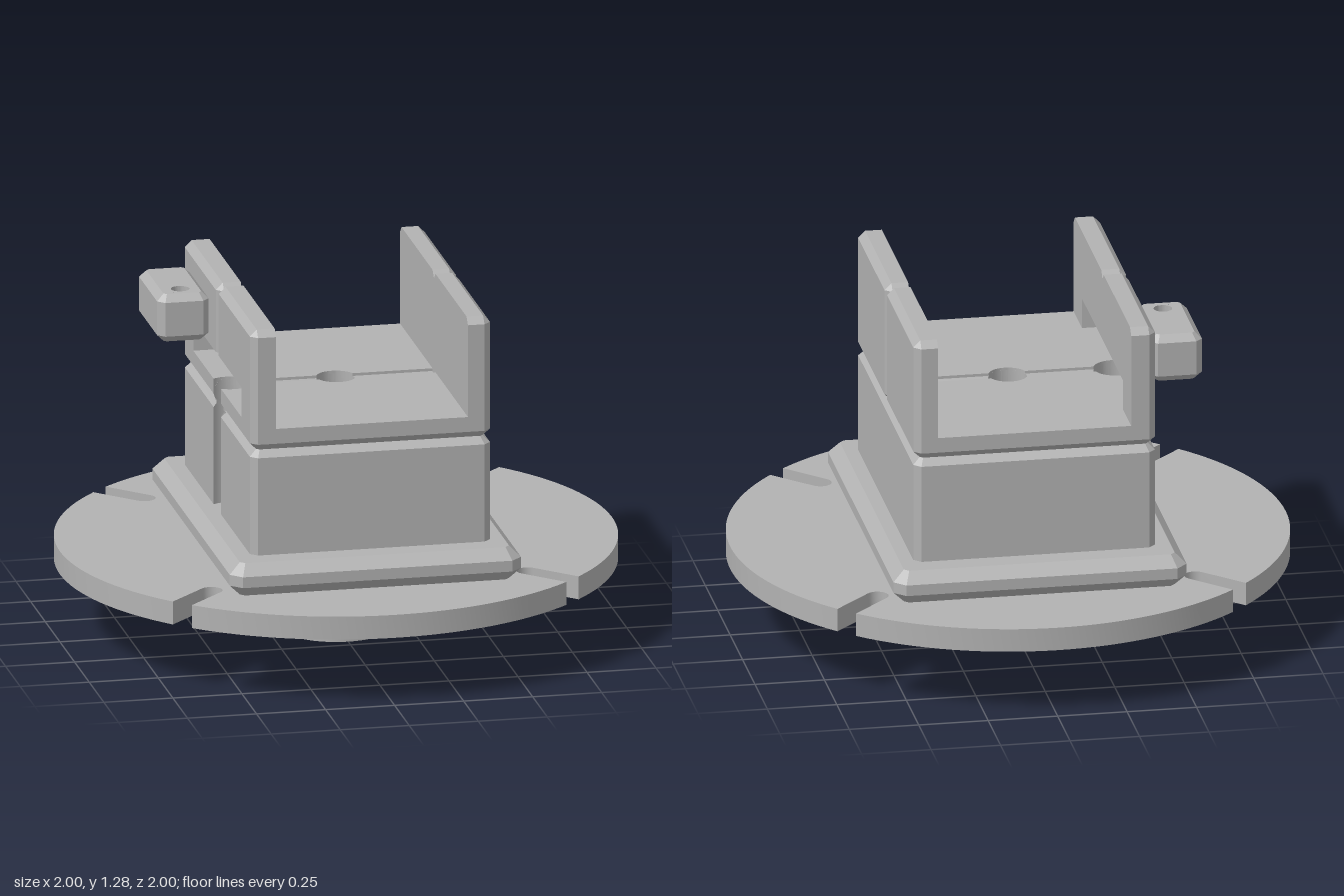
import * as THREE from 'three';
import { toCreasedNormals } from 'three/addons/utils/BufferGeometryUtils.js';
import { ConvexGeometry } from 'three/addons/geometries/ConvexGeometry.js';

const X0 = -0.43, X1 = 0.44, D = 0.58, C = 0.025;   // block footprint and chamfer
const BORE = { x: 0, z: 0, r: 0.07 };               // central bore
const DUCT = { x: -0.385, z: 0, r: 0.077 };         // side cable duct
const DUCT_ANGLE = Math.acos((X0 - DUCT.x) / DUCT.r);

const arc = (cx, cy, r, a0, a1, n = 24) => Array.from({ length: n + 1 }, (_, i) => {
  const a = a0 + (a1 - a0) * i / n;
  return new THREE.Vector2(cx + r * Math.cos(a), cy + r * Math.sin(a));
});
const v = (x, y) => new THREE.Vector2(x, y);

// Horizontal slab from y0 to y1; the outer rim is chamfered, bores stay straight
function slab(points, holes, y0, y1, c = 0, bores = holes) {
  const shape = new THREE.Shape(points);
  for (const h of holes) shape.holes.push(new THREE.Path(arc(h.x, -h.z, h.r, 0, Math.PI * 2, 40).slice(0, -1)));
  const g = new THREE.ExtrudeGeometry(shape, {
    depth: y1 - y0 - 2 * c, bevelEnabled: c > 0, bevelThickness: c, bevelSize: c,
    bevelOffset: -c, bevelSegments: 1,
  });
  g.rotateX(-Math.PI / 2).translate(0, y0 + c, 0);
  if (c > 0) {
    const p = g.attributes.position;
    for (let i = 0; i < p.count; i++) {
      for (const h of bores) {
        const dx = p.getX(i) - h.x, dz = p.getZ(i) - h.z, d = Math.hypot(dx, dz);
        if (d > 0 && d < h.r + c + 0.006) {
          p.setX(i, h.x + dx * h.r / d);
          p.setZ(i, h.z + dz * h.r / d);
        }
      }
    }
  }
  return toCreasedNormals(g, 0.4);
}

// Rectangle with cut corners
const octagon = (x0, x1, z0, z1, c) => [
  v(x1, -z1 + c), v(x1, -z0 - c), v(x1 - c, -z0), v(x0 + c, -z0),
  v(x0, -z0 - c), v(x0, -z1 + c), v(x0 + c, -z1), v(x1 - c, -z1)];

// Box whose edges are cut only where two flagged faces meet
function chamferBox(xr, yr, zr, flags, c = C) {
  const pts = [], r = [xr, yr, zr];
  for (let k = 0; k < 8; k++) {
    const s = [k & 1, (k >> 1) & 1, (k >> 2) & 1];
    const corner = s.map((b, a) => r[a][b]);
    const on = [0, 1, 2].filter(a => flags[a][s[a]]);
    if (on.length < 2) { pts.push(new THREE.Vector3(...corner)); continue; }
    for (const keep of on) {
      const q = corner.slice();
      for (const a of on) if (a !== keep) q[a] += s[a] ? -c : c;
      pts.push(new THREE.Vector3(...q));
    }
  }
  return new ConvexGeometry(pts);
}

// Outline of one tray floor half; s = 1 front, -1 back
function halfFloor(s, z0, c) {
  const edge = r => Math.asin(z0 / r);
  return [
    ...(c ? [v(X1 - c, z0), v(X1, z0 + c)] : [v(X1, z0)]),
    v(X1, D - C), v(X1 - C, D), v(X0 + C, D), v(X0, D - C),
    ...arc(DUCT.x, 0, DUCT.r, DUCT_ANGLE, edge(DUCT.r), 16),
    ...arc(0, 0, BORE.r, Math.PI - edge(BORE.r), edge(BORE.r), 20),
  ].map(p => v(p.x, -s * p.y));
}

export function createModel() {
  const model = new THREE.Group();
  const grey = new THREE.MeshStandardMaterial({ color: 0xb2b2b2 });
  grey.name = 'plain grey';
  const add = (name, geometry, parent = model) => {
    const m = new THREE.Mesh(geometry, grey);
    m.name = name;
    parent.add(m);
  };

  // Round base plate with four slots open at the rim
  const rim = [], half = 0.04, a = Math.asin(half);
  for (let q = 0; q < 4; q++) {
    const t = Math.PI / 4 + q * Math.PI / 2;
    rim.push(...arc(Math.cos(t) * 0.81, Math.sin(t) * 0.81, half, t + 1.5 * Math.PI, t + Math.PI / 2, 12));
    rim.push(...arc(0, 0, 1, t + a, t + Math.PI / 2 - a, 32));
  }
  add('basePlate', slab(rim, [BORE, DUCT], 0.25, 0.335));

  // Hub below the plate with a recessed, drilled face
  const hubCircle = arc(0, 0, 0.21, 0, Math.PI * 2, 64).slice(0, -1);
  const bolts = [0, 1, 2, 3].map(i => {
    const t = Math.PI / 4 + i * Math.PI / 2;
    return { x: 0.105 * Math.cos(t), z: 0.105 * Math.sin(t), r: 0.018 };
  });
  add('hubRim', slab(hubCircle, [{ x: 0, z: 0, r: 0.17 }], 0, 0.03));
  add('hub', slab(hubCircle, [BORE, ...bolts], 0.03, 0.25));

  // Plinth
  add('plinth', slab(octagon(-0.525, 0.53, -0.7, 0.7, 0.04), [BORE, DUCT], 0.335, 0.455, 0.04));

  // Main block with the duct running up its side
  const outline = octagon(X0, X1, -D, D, C);
  outline.splice(5, 0, ...arc(DUCT.x, 0, DUCT.r, -DUCT_ANGLE, DUCT_ANGLE, 24).reverse());
  // the outline runs down the -x side, so the groove is entered from its rear end
  add('mainBlock', slab(outline, [BORE], 0.41, 0.84, C, [BORE, DUCT]));

  // Two tray halves: floor, full wall, and a wall with a low window
  for (const s of [1, -1]) {
    const tray = new THREE.Group();
    tray.name = s > 0 ? 'frontTray' : 'backTray';
    model.add(tray);
    const zr = (p, q) => s > 0 ? [p, q] : [-q, -p];
    const zf = (p, q) => s > 0 ? [p, q] : [q, p];
    add('trayFloorBase', slab(halfFloor(s, 0, C), [], 0.84, 0.91, C, [BORE, DUCT]), tray);
    add('trayFloor', slab(halfFloor(s, C, 0), [], 0.865, 0.92), tray);
    add('leftWall', chamferBox([0.355, X1], [0.866, 1.285], zr(0, D), [[0, 1], [0, 1], [1, 1]]), tray);
    add('rightWallPost', chamferBox([X0, -0.34], [0.866, 1.285], zr(0.41, D), [[1, 0], [0, 1], zf(0, 1)]), tray);
    add('rightWallBeam', chamferBox([X0, -0.34], [1.03, 1.285], zr(0, 0.41), [[1, 0], [0, 1], zf(1, 0)]), tray);
  }

  // Small drilled block on the outside of the right wall
  add('sideBlock', slab(octagon(-0.615, -0.428, -0.49, -0.13, C),
    [{ x: -0.52, z: -0.21, r: 0.033 }], 1.04, 1.215, C));
  return model;
}
